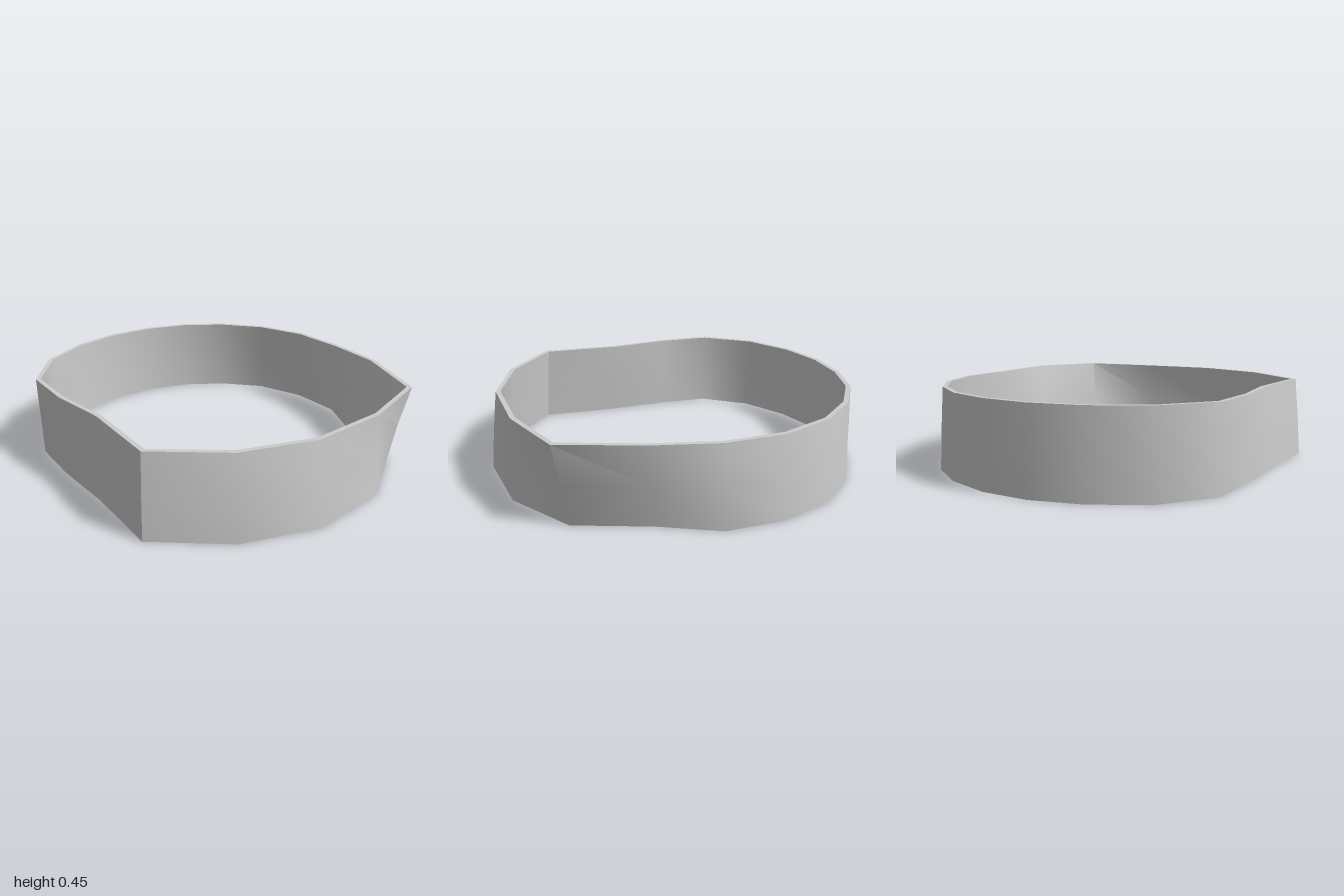
import * as THREE from 'three';
import { toCreasedNormals } from 'three/addons/utils/BufferGeometryUtils.js';

const HEIGHT = 0.435;
const WALL = 0.025;

// Outer outlines [x, z], starting at the back and running via +x to the front
const bottomOutline = [
  [0, -1], [0.265, -0.96], [0.505, -0.85], [0.72, -0.67], [0.86, -0.4], [0.905, -0.09],
  [0.805, 0.22], [0.72, 0.615], [0.42, 0.88], [0, 0.995], [-0.41, 0.92], [-0.775, 0.695],
  [-0.815, 0.265], [-0.875, -0.09], [-0.9, -0.395], [-0.742, -0.675], [-0.502, -0.86], [-0.255, -0.965],
];
const topOutline = [
  [0, -0.985], [0.255, -0.945], [0.49, -0.83], [0.695, -0.645], [0.835, -0.39], [0.887, -0.08],
  [0.88, 0.265], [0.782, 0.68], [0.41, 0.86], [0, 0.945], [-0.395, 0.877], [-0.75, 0.665],
  [-0.79, 0.22], [-0.875, -0.09], [-0.908, -0.4], [-0.75, -0.685], [-0.51, -0.865], [-0.26, -0.96],
];

// Slight lift of the top rim at the flared corner
const rimLift = { 6: 0.012, 7: 0.007 };

// Moves an outline inwards by the wall thickness, mitred at the corners
function inset(outline, distance) {
  const n = outline.length;
  const normal = (p, q) => new THREE.Vector2(p[1] - q[1], q[0] - p[0]).normalize();
  return outline.map((p, i) => {
    const a = normal(outline[(i + n - 1) % n], p);
    const b = normal(p, outline[(i + 1) % n]);
    const m = a.clone().add(b).multiplyScalar(distance / (1 + a.dot(b)));
    return [p[0] + m.x, p[1] + m.y];
  });
}

function bandGeometry() {
  // Rows of the wall: height fraction and blend from bottom to top outline
  const levels = [[0, 0], [0.5, 0.43], [1, 1]];
  const outer = levels.map(([h, t]) => ({
    h,
    outline: bottomOutline.map((p, i) => [
      THREE.MathUtils.lerp(p[0], topOutline[i][0], t),
      THREE.MathUtils.lerp(p[1], topOutline[i][1], t),
    ]),
  }));
  const inner = outer.map(({ h, outline }) => ({ h, outline: inset(outline, WALL) })).reverse();
  const rows = [...outer, ...inner];

  const n = bottomOutline.length;
  const positions = [];
  const indices = [];
  rows.forEach(({ h, outline }, k) => {
    const next = (k + 1) % rows.length;
    outline.forEach(([x, z], i) => {
      positions.push(x, h * (HEIGHT + (rimLift[i] || 0)), z);
      const j = (i + 1) % n;
      const a = k * n + i, b = next * n + i, c = next * n + j, d = k * n + j;
      indices.push(a, b, c, a, c, d);
    });
  });

  const geometry = new THREE.BufferGeometry();
  geometry.setAttribute('position', new THREE.Float32BufferAttribute(positions, 3));
  geometry.setIndex(indices);
  return toCreasedNormals(geometry, THREE.MathUtils.degToRad(50));
}

export function createModel() {
  const group = new THREE.Group();
  group.name = 'headband';

  const paleGrey = new THREE.MeshStandardMaterial({ color: 0xcccccc });
  paleGrey.name = 'pale grey';

  const band = new THREE.Mesh(bandGeometry(), paleGrey);
  band.name = 'band';
  group.add(band);
  return group;
}
